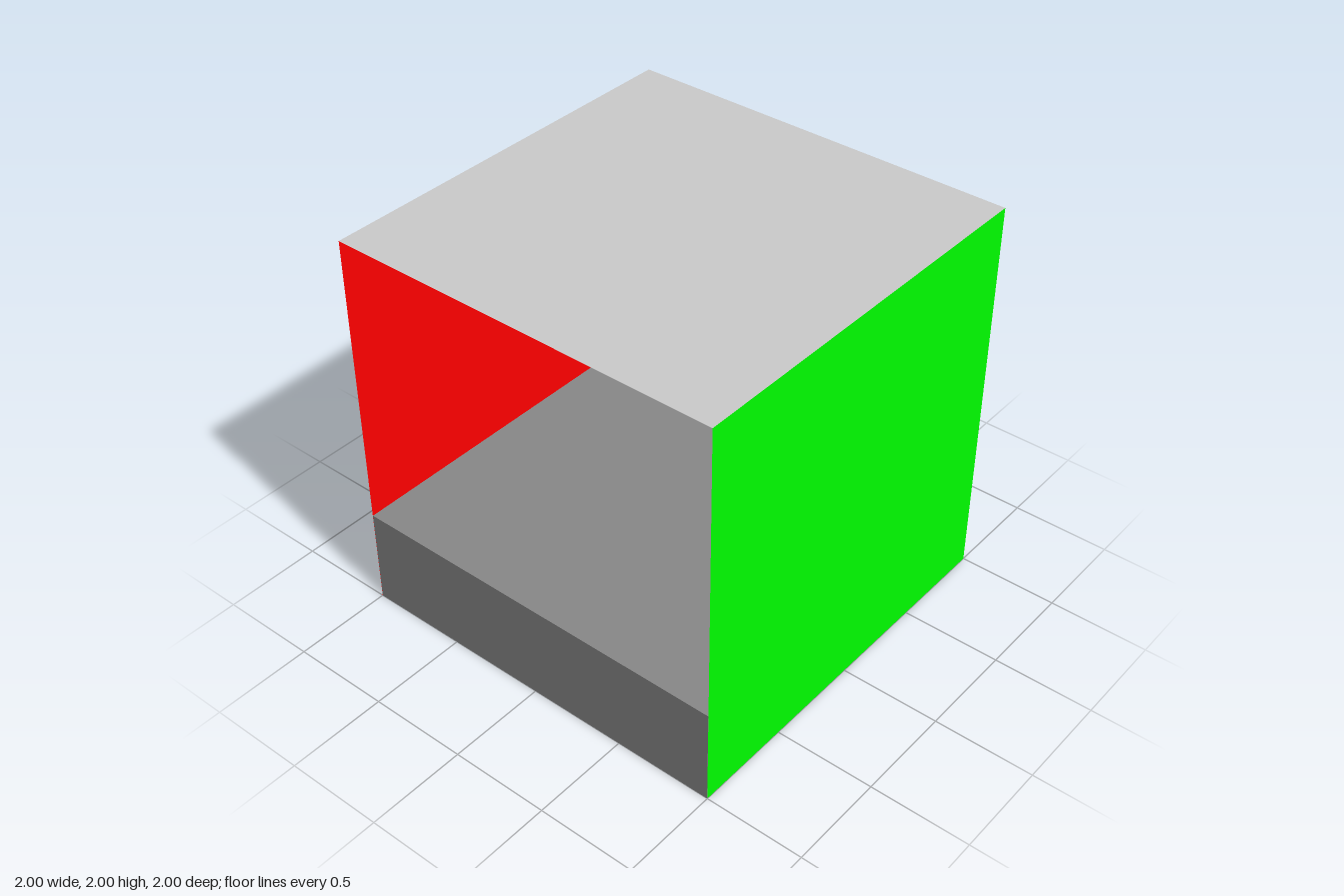
import * as THREE from 'three';

const SIZE = 2, HALF = SIZE / 2, BLOCK_HEIGHT = 0.5, GAP = 0.001;

export function createModel() {
  const room = new THREE.Group();
  room.name = 'openRoom';

  const add = (name, geometry, color, position, rotation = [0, 0, 0]) => {
    const material = new THREE.MeshStandardMaterial({ color, side: THREE.DoubleSide });
    const mesh = new THREE.Mesh(geometry, material);
    mesh.name = name;
    mesh.position.set(...position);
    mesh.rotation.set(...rotation);
    room.add(mesh);
  };

  // Thin panels, open at the front
  const panel = new THREE.PlaneGeometry(SIZE, SIZE);
  add('backWall', panel, 0xcccccc, [0, HALF, -HALF]);
  add('ceiling', panel, 0xcccccc, [0, SIZE, 0], [-Math.PI / 2, 0, 0]);
  add('leftWall', panel, 0x00ff00, [HALF, HALF, 0], [0, Math.PI / 2, 0]);
  add('rightWall', panel, 0xff0000, [-HALF, HALF, 0], [0, -Math.PI / 2, 0]);

  // Solid floor block, a hair clear of the three walls
  const block = new THREE.BoxGeometry(SIZE - 2 * GAP, BLOCK_HEIGHT, SIZE - GAP);
  add('floorBlock', block, 0x888888, [0, BLOCK_HEIGHT / 2, GAP / 2]);

  return room;
}
